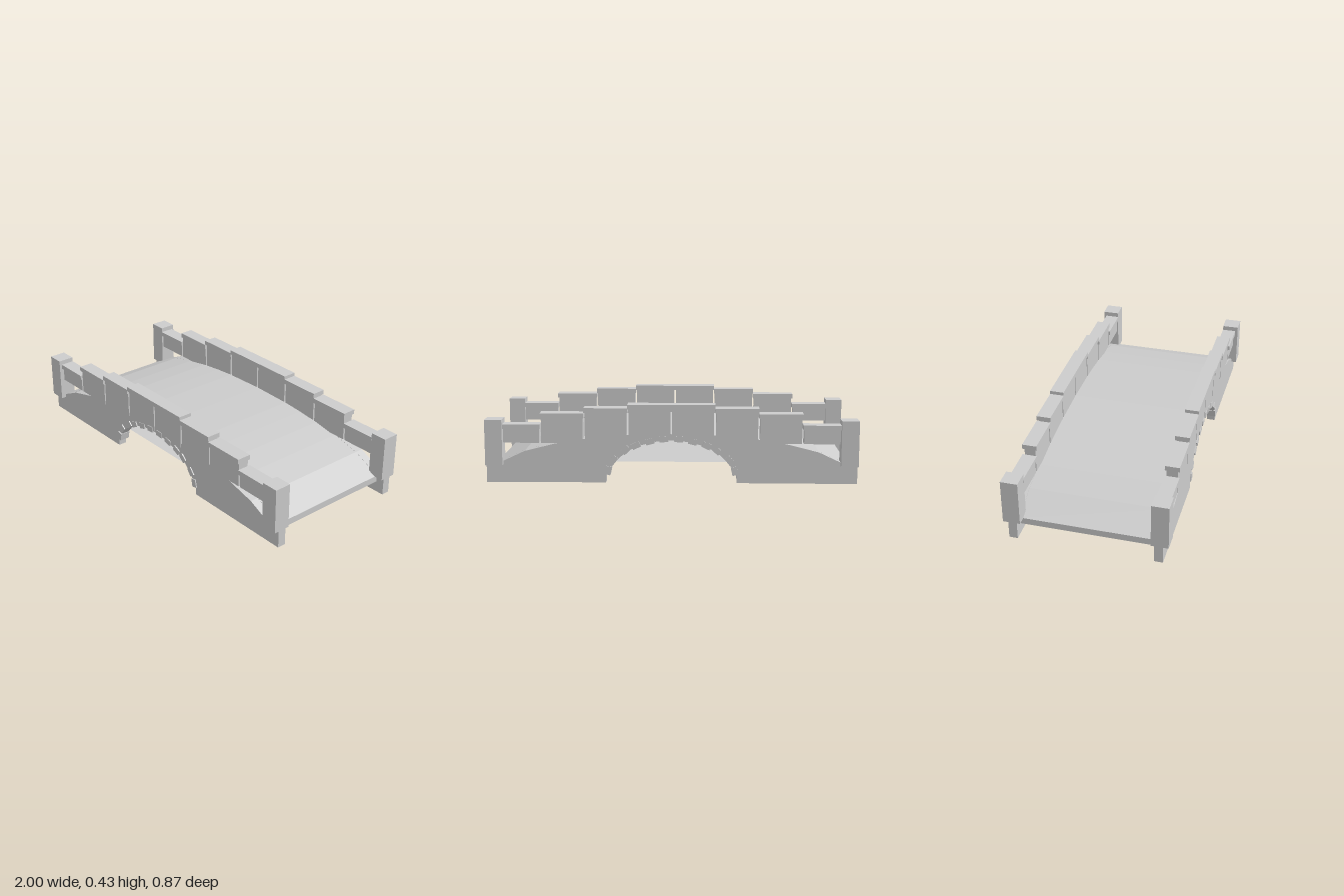
import * as THREE from 'three';

export function createModel() {
  const bridge = new THREE.Group();
  bridge.name = 'bridge';
  const stone = new THREE.MeshStandardMaterial({ color: 0xcccccc, flatShading: true });
  stone.name = 'stone';
  const sheet = new THREE.MeshStandardMaterial({ color: 0xcccccc, side: THREE.DoubleSide });
  sheet.name = 'stone';

  const add = (parent, name, geometry, material = stone) => {
    const mesh = new THREE.Mesh(geometry, material);
    mesh.name = name;
    parent.add(mesh);
    return mesh;
  };
  // Box given by its limits on each axis
  const box = (parent, name, x0, x1, y0, y1, z0, z1) => {
    const mesh = add(parent, name, new THREE.BoxGeometry(x1 - x0, y1 - y0, z1 - z0));
    mesh.position.set((x0 + x1) / 2, (y0 + y1) / 2, (z0 + z1) / 2);
    return mesh;
  };
  // Full left-to-right outline from its right half, centre point first
  const mirror = (half) => [
    ...half.slice(1).reverse().map(([x, y]) => [-x, y]), ...half,
  ];
  const extrude = (points, z0, z1) => {
    const shape = new THREE.Shape(points.map(([x, y]) => new THREE.Vector2(x, y)));
    const g = new THREE.ExtrudeGeometry(shape, { depth: z1 - z0, bevelEnabled: false });
    return g.translate(0, 0, z0);
  };

  // Humped walkway
  const curve = [[0, 0.27], [0.24, 0.264], [0.36, 0.255], [0.49, 0.24], [0.63, 0.215],
    [0.79, 0.175], [0.95, 0.1]];
  const top = mirror(curve);
  const under = top.map(([x, y]) => [x, y - 0.036]);
  add(bridge, 'deck', extrude([...under, ...top.slice().reverse()], -0.36, 0.36));

  // Flat sheet beneath the hump
  const floor = add(bridge, 'lowerSheet', new THREE.PlaneGeometry(0.72, 0.72), sheet);
  floor.rotation.x = -Math.PI / 2;
  floor.position.y = 0.11;

  const arch = [[0, 0.236], [0.09, 0.228], [0.17, 0.207], [0.24, 0.175], [0.295, 0.125],
    [0.33, 0.08], [0.35, 0.045], [0.352, 0.004]];
  const wallTop = mirror([...curve, [0.998, 0.1]]);
  const wallOutline = [[-0.998, 0.003], ...mirror(arch), [0.998, 0.003],
    ...wallTop.slice().reverse()];

  // Parapet blocks: x start, x end, bottom, top
  const panels = [[0, 0.235, 0.24, 0.43], [0.235, 0.47, 0.24, 0.411],
    [0.47, 0.705, 0.22, 0.382], [0.705, 0.91, 0.22, 0.322]];
  // Loose stones around the arch: x, y, tilt
  const stones = [[0.34, 0.07, 1.35], [0.312, 0.128, 0.9], [0.245, 0.182, 0.75],
    [0.19, 0.208, 0.45], [0.115, 0.23, 0.25], [0.04, 0.243, 0.08]];

  for (const side of [1, -1]) {
    const wallSide = new THREE.Group();
    wallSide.name = side > 0 ? 'frontSide' : 'backSide';
    if (side < 0) wallSide.rotation.y = Math.PI;
    bridge.add(wallSide);

    add(wallSide, 'archedWall', extrude(wallOutline, 0.361, 0.407));

    for (const s of [1, -1]) {
      const span = (a, b) => (s > 0 ? [a, b] : [-b, -a]);
      for (const [a, b, y0, y1] of panels) {
        box(wallSide, 'parapetPanel', ...span(a + 0.005, b - 0.006), y0, y1 - 0.025, 0.35, 0.41);
        box(wallSide, 'parapetCap', ...span(a, b), y1 - 0.026, y1, 0.342, 0.42);
      }
      box(wallSide, 'endPost', ...span(0.907, 1), 0.1, 0.348, 0.343, 0.435);
      for (const [x, y, tilt] of stones) {
        const block = box(wallSide, 'archStone', -0.023, 0.023, -0.016, 0.016, 0.356, 0.413);
        block.position.x = s * x;
        block.position.y = y;
        block.rotation.z = -s * tilt;
      }
    }
  }
  return bridge;
}
